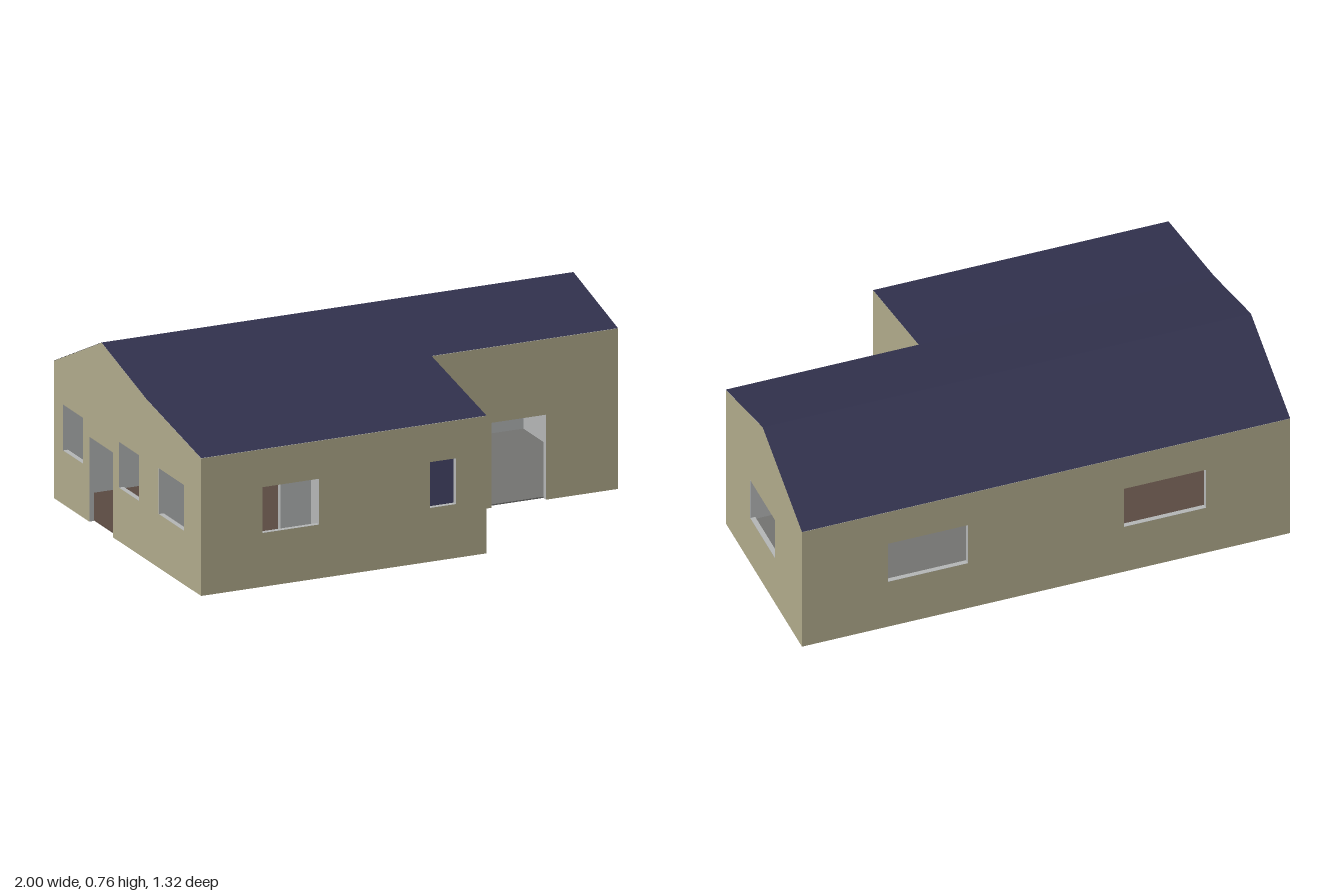
import * as THREE from 'three';

const material = (name, color) => {
  const m = new THREE.MeshStandardMaterial({ color, side: THREE.DoubleSide });
  m.name = name;
  return m;
};

const WALL = 0.02, SKIN = 0.001;
const DOOR_TOP = 0.343, SILL = 0.217, LINTEL = 0.402;

// Roof cross-section as [z, y], back eave to front eave
const BACK = [-0.66, 0.555], RIDGE = [-0.235, 0.755], BEND = [0.163, 0.648], FRONT = [0.655, 0.555];
const PROFILE = [BACK, RIDGE, BEND, FRONT];
const XW = 0.21; // right edge of the front wing

export function createModel() {
  const house = new THREE.Group();
  house.name = 'house';

  const render = material('olive render', 0xb0aa8b);
  const plaster = material('grey plaster', 0xb4b6b6);
  const navy = material('navy roof', 0x31314d);
  const greyFloor = material('grey floor', 0x727270);
  const brown = material('brown wood', 0x5a4a41);
  const blue = material('blue tile', 0x5f7c9a);
  const gold = material('gold ceiling', 0x85783f);

  // Wall outline: doors are notches in the base, windows are holes.
  // All spans are world coordinates along the wall; s flips them to local.
  function wallShape(s, top, doors, windows) {
    const n = top.length - 1;
    const pts = [[top[0][0], 0]];
    for (const [a, b] of doors) pts.push([a, 0], [a, DOOR_TOP], [b, DOOR_TOP], [b, 0]);
    pts.push([top[n][0], 0], ...[...top].reverse());
    const toV = ([u, y]) => new THREE.Vector2(u * s, y);
    const shape = new THREE.Shape(pts.map(toV));
    for (const [a, b] of windows) {
      shape.holes.push(new THREE.Path([[a, SILL], [a, LINTEL], [b, LINTEL], [b, SILL]].map(toV)));
    }
    return shape;
  }

  // dir gives the facing: [rotation, sign of the along-wall axis]
  const FACE = {
    front: [0, 1], back: [Math.PI, -1], right: [Math.PI / 2, -1], left: [-Math.PI / 2, 1],
  };

  function place(mesh, name, angle, d) {
    mesh.name = name;
    mesh.rotation.y = angle;
    mesh.position.set(Math.sin(angle) * d, 0, Math.cos(angle) * d);
    house.add(mesh);
  }

  function lining(name, mat, dir, d, top, doors = [], windows = []) {
    const [angle, s] = FACE[dir];
    const geo = new THREE.ShapeGeometry(wallShape(s, top, doors, windows));
    place(new THREE.Mesh(geo, mat), name, angle, d);
  }

  function core(name, dir, d, top, doors = [], windows = []) {
    const [angle, s] = FACE[dir];
    const inset = top.map(([u, y], i) =>
      [u + (i === 0 ? 2 * SKIN : i === top.length - 1 ? -2 * SKIN : 0), y - SKIN]);
    const geo = new THREE.ExtrudeGeometry(wallShape(s, inset, doors, windows),
      { depth: WALL, bevelEnabled: false });
    geo.translate(0, 0, -WALL - SKIN);
    place(new THREE.Mesh(geo, plaster), name, angle, d);
  }

  function outerWall(name, ...spec) {
    core(name + 'Core', ...spec);
    lining(name + 'Render', render, ...spec);
  }

  const level = (a, b, y) => [[a, y], [b, y]];
  const wingTop = [BEND, FRONT];

  // Outer walls
  const frontWindows = [[-0.74, -0.5], [-0.03, 0.08]];
  outerWall('wingFrontWall', 'front', 0.655, level(-1, XW, 0.555), [], frontWindows);
  outerWall('wingSideWall', 'right', XW, wingTop);
  outerWall('entranceWall', 'front', 0.163, level(XW, 1, 0.648), [[0.465, 0.695]]);
  outerWall('backWall', 'back', 0.66, level(-1, 1, 0.555), [], [[-0.655, -0.32], [0.32, 0.648]]);
  outerWall('rightWall', 'right', 1, [BACK, RIDGE, BEND], [], [[-0.37, -0.1]]);
  outerWall('leftWall', 'left', 1, PROFILE, [[-0.345, -0.133]],
    [[-0.58, -0.4], [-0.08, 0.1], [0.276, 0.5]]);

  // Inner walls
  const innerDoors = [[-0.65, -0.43], [-0.16, 0.05]];
  core('wingPartition', 'front', 0.163, level(-0.98, XW - 0.005, 0.64), innerDoors);
  core('bathPartition', 'right', -0.28, [[0.163, 0.645], [0.64, 0.553]]);

  // Navy lining of the bathroom
  const bx0 = -0.279, bx1 = XW - WALL - 0.003;
  const bathSide = [[0.165, 0.64], [0.632, 0.553]];
  lining('bathRearLining', navy, 'front', 0.165, level(bx0, bx1, 0.638), [innerDoors[1]]);
  lining('bathFrontLining', navy, 'back', -0.632, level(bx0, bx1, 0.55), [], [frontWindows[1]]);
  lining('bathRightLining', navy, 'left', -bx1, bathSide);
  lining('bathLeftLining', navy, 'right', bx0, bathSide);

  // Floors
  function floor(name, mat, x0, x1, z0, z1) {
    const mesh = new THREE.Mesh(new THREE.BoxGeometry(x1 - x0, 0.005, z1 - z0), mat);
    mesh.name = name;
    mesh.position.set((x0 + x1) / 2, 0.0035, (z0 + z1) / 2);
    house.add(mesh);
  }
  floor('livingFloor', brown, -0.979, 0.05, -0.639, 0.142);
  floor('hallFloor', greyFloor, 0.05, 0.979, -0.639, 0.142);
  floor('bedroomFloor', greyFloor, -0.979, -0.301, 0.163, 0.634);
  floor('bathFloor', blue, -0.28, 0.189, 0.163, 0.634);

  // Sloping sheets that follow a run of [z, y] points
  function sheet(name, mat, x0, x1, run, lift) {
    let geo = new THREE.PlaneGeometry(x1 - x0, 1, 1, run.length - 1);
    const p = geo.attributes.position;
    for (let i = 0; i < p.count; i++) {
      const [z, y] = run[Math.floor(i / 2)];
      p.setXYZ(i, p.getX(i) + (x0 + x1) / 2, y + lift, z);
    }
    geo = geo.toNonIndexed();
    geo.computeVertexNormals();
    const mesh = new THREE.Mesh(geo, mat);
    mesh.name = name;
    house.add(mesh);
  }

  // Roof
  sheet('mainRoof', navy, -1, 1, [BACK, RIDGE, BEND], 0.001);
  sheet('wingRoof', navy, -1, XW, wingTop, 0.001);

  // Ceilings
  const backSlope = [[-0.638, 0.565], RIDGE], frontSlope = [RIDGE, [0.141, 0.654]];
  sheet('livingCeilingBack', brown, -0.978, 0.05, backSlope, -0.01);
  sheet('hallCeilingBack', gold, 0.05, 0.978, backSlope, -0.01);
  sheet('ceilingFront', brown, -0.978, 0.978, frontSlope, -0.01);
  sheet('bedroomCeiling', brown, -0.978, -0.302, [[0.165, 0.648], [0.633, 0.559]], -0.01);

  return house;
}
